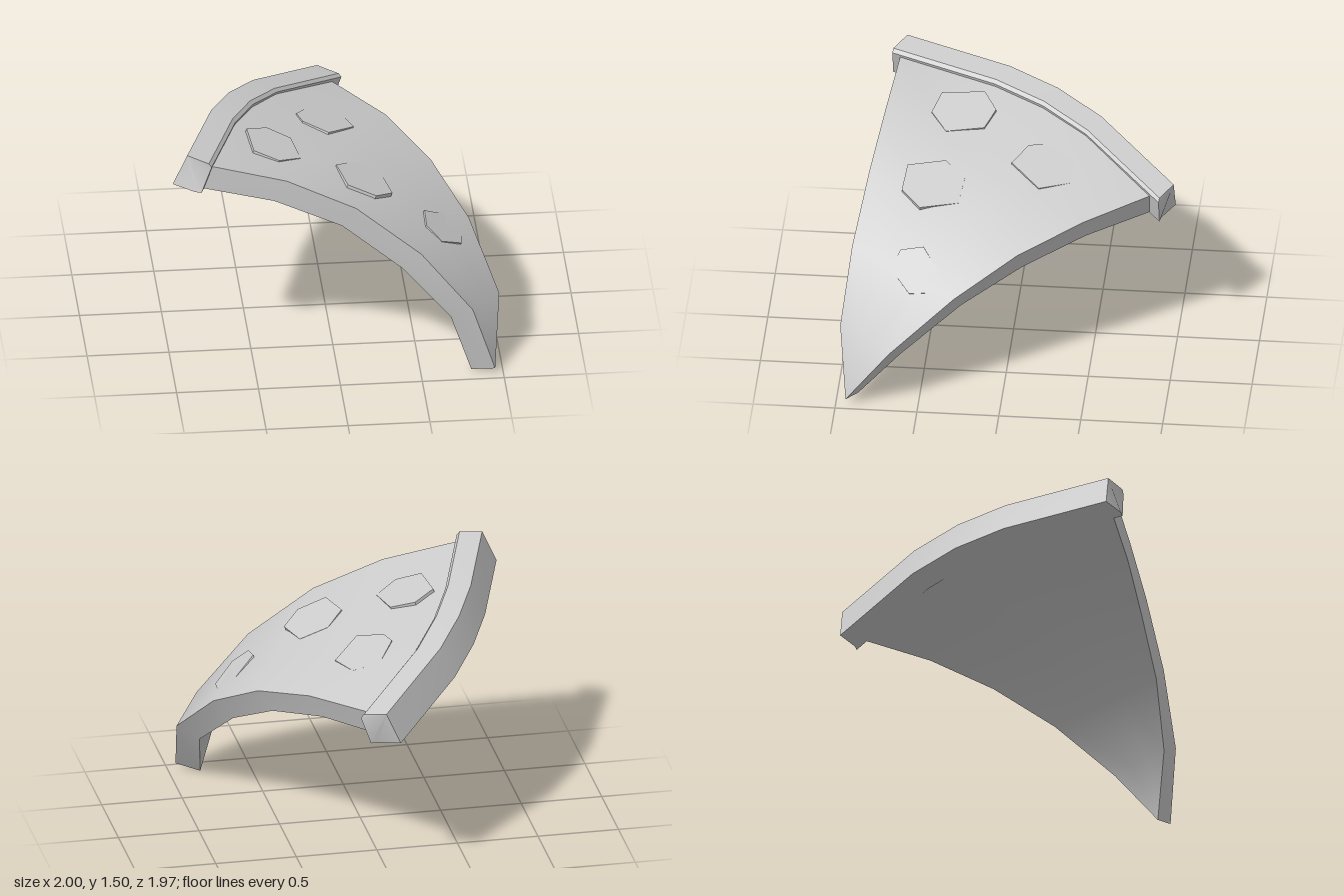
import * as THREE from 'three';
import { toCreasedNormals } from 'three/addons/utils/BufferGeometryUtils.js';
import { ConvexGeometry } from 'three/addons/geometries/ConvexGeometry.js';

const add = (a, b, s = 1) => a.map((v, i) => v + b[i] * s);
const mix = (a, b, t) => a.map((v, i) => v + (b[i] - v) * t);

// Closed solid through a list of equal-sized closed rings, capped at both ends
function loft(rings) {
  const n = rings[0].length, last = (rings.length - 1) * n, index = [];
  for (let i = 0; i < rings.length - 1; i++) {
    for (let j = 0; j < n; j++) {
      const a = i * n + j, b = i * n + (j + 1) % n;
      index.push(a, b, a + n, b, b + n, a + n);
    }
  }
  for (let j = 1; j < n - 1; j++) {
    index.push(0, j + 1, j, last, last + j, last + j + 1);
  }
  const g = new THREE.BufferGeometry();
  g.setAttribute('position', new THREE.Float32BufferAttribute(rings.flat(2), 3));
  g.setIndex(index);
  return toCreasedNormals(g, 0.55);
}

export function createModel() {
  const group = new THREE.Group();
  const grey = new THREE.MeshStandardMaterial({ color: 0xcccccc });
  grey.name = 'plain grey';
  const part = (name, geometry) => {
    const mesh = new THREE.Mesh(geometry, grey);
    mesh.name = name;
    group.add(mesh);
  };

  // Drooping slice: rows from tip to crust as [front edge, back edge, offset to underside]
  const rows = [
    [[0.95, 0.04, 0.94], [0.95, 0.04, 0.94], [-0.14, -0.035, -0.065]],
    [[0.81, 0.48, 0.985], [1.0, 0.41, 0.67], [-0.13, -0.073, -0.06]],
    [[0.50, 0.86, 0.94], [0.85, 0.73, 0.29], [-0.115, -0.11, -0.035]],
    [[0.11, 1.16, 0.87], [0.65, 0.94, -0.08], [-0.085, -0.13, -0.025]],
    [[-0.31, 1.34, 0.81], [0.41, 1.05, -0.46], [-0.075, -0.14, -0.01]],
    [[-0.77, 1.44, 0.76], [0.12, 1.08, -0.84], [-0.07, -0.15, -0.01]],
  ];
  const columns = [0, 1 / 3, 0.5, 2 / 3, 1];
  const bulge = [0, 0.9, 1, 0.9, 0];
  part('slice', loft(rows.map(([front, back, down], k) => {
    const top = columns.map((t, j) =>
      add(mix(front, back, t), [-0.125, 0.07, -0.1], k === 5 ? bulge[j] : 0));
    return [...top, ...top.map((p) => add(p, down)).reverse()];
  })));

  // Crust: one six-sided section carried along the curved outer edge
  const spine = [
    [-0.91, 1.505, 0.73], [-0.705, 1.445, 0.085], [-0.57, 1.39, -0.22],
    [-0.395, 1.31, -0.5], [0.04, 1.12, -0.98],
  ];
  const section = [
    [0, 0, 0], [0.125, -0.022, 0.075], [0.142, -0.045, 0.08],
    [0.08, -0.22, 0.08], [0.04, -0.215, 0.073], [-0.088, -0.197, -0.005],
  ];
  part('crust', loft(spine.map((p) => section.map((s) => add(p, s)))));

  // Toppings: thin hexagons lying in the local slope of the slice
  const toppings = [
    { at: [-0.35, 1.333, 0.33], slope: [-0.33, 0],
      outline: [[-0.5, 0.22], [-0.37, 0.14], [-0.23, 0.2], [-0.19, 0.43], [-0.33, 0.53], [-0.48, 0.48]] },
    { at: [0.02, 1.19, -0.19], slope: [-0.3, 0.1],
      outline: [[-0.16, -0.18], [-0.04, -0.38], [0.12, -0.35], [0.19, -0.17], [0.02, 0.01], [-0.13, -0.08]] },
    { at: [0.195, 1.14, 0.475], slope: [-0.44, 0.04],
      outline: [[0.03, 0.41], [0.14, 0.285], [0.31, 0.31], [0.36, 0.54], [0.25, 0.66], [0.08, 0.64]] },
    { at: [0.675, 0.81, 0.54], slope: [-0.85, -0.2],
      outline: [[0.56, 0.5], [0.7, 0.39], [0.79, 0.46], [0.78, 0.57], [0.65, 0.69], [0.56, 0.64]] },
  ];
  toppings.forEach(({ at, slope, outline }, i) => {
    const normal = new THREE.Vector3(-slope[0], 1, -slope[1]).normalize();
    const points = outline.flatMap(([x, z]) => {
      const y = at[1] + slope[0] * (x - at[0]) + slope[1] * (z - at[2]);
      const p = new THREE.Vector3(x, y, z);
      return [p, p.clone().addScaledVector(normal, -0.05)];
    });
    part(`topping${i + 1}`, new ConvexGeometry(points));
  });
  return group;
}
